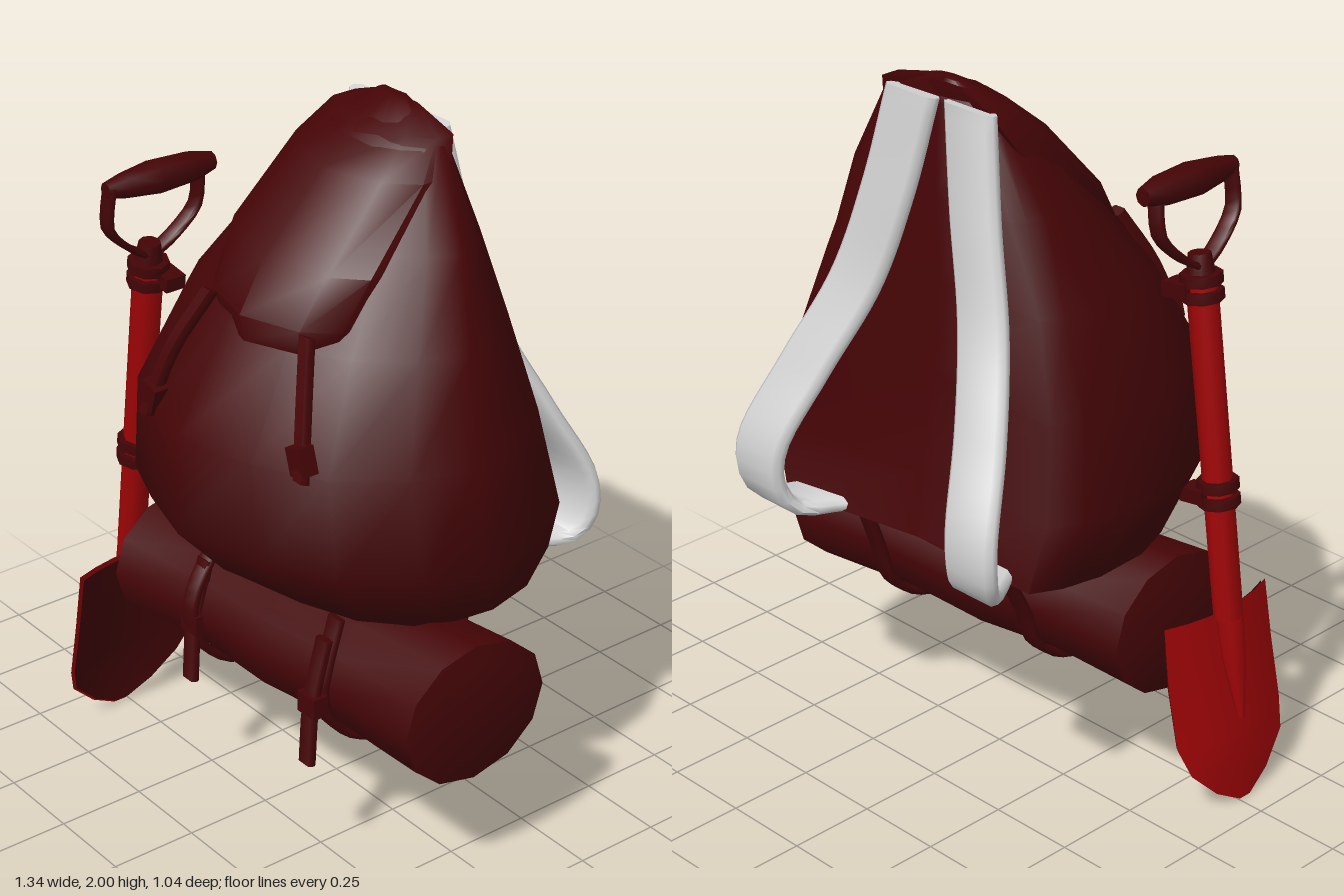
import * as THREE from 'three';
import { toCreasedNormals } from 'three/addons/utils/BufferGeometryUtils.js';

const V = (x, y, z) => new THREE.Vector3(x, y, z);
const mat = (name, color, side = THREE.FrontSide) =>
  Object.assign(new THREE.MeshStandardMaterial({ color, side }), { name });

// Skin a list of rings (equal point counts), capped at both ends, facing outwards.
function loft(rings, crease = 0.9) {
  const n = rings[0].length, pos = [], idx = [];
  rings.forEach(r => r.forEach(p => pos.push(p.x, p.y, p.z)));
  for (let i = 0; i < rings.length - 1; i++) {
    for (let j = 0; j < n; j++) {
      const k = (j + 1) % n, a = i * n + j, b = i * n + k;
      idx.push(a, b, b + n, a, b + n, a + n);
    }
  }
  [0, rings.length - 1].forEach(e => {
    const c = V(0, 0, 0);
    rings[e].forEach(p => c.addScaledVector(p, 1 / n));
    const ci = pos.length / 3;
    pos.push(c.x, c.y, c.z);
    for (let j = 0; j < n; j++) {
      const a = e * n + j, b = e * n + (j + 1) % n;
      if (e) idx.push(a, b, ci); else idx.push(b, a, ci);
    }
  });
  // Signed volume tells whether the winding must be flipped
  const at = i => V(pos[i * 3], pos[i * 3 + 1], pos[i * 3 + 2]);
  let vol = 0;
  for (let t = 0; t < idx.length; t += 3) vol += at(idx[t]).dot(at(idx[t + 1]).cross(at(idx[t + 2])));
  if (vol < 0) idx.reverse();
  const g = new THREE.BufferGeometry();
  g.setAttribute('position', new THREE.Float32BufferAttribute(pos, 3));
  g.setIndex(idx);
  return toCreasedNormals(g, crease);
}

// Flat strap with softened edges following a path; side is the direction of its width.
const strapSection = [[-1, -0.4], [-0.8, -1], [0.8, -1], [1, -0.4], [1, 0.4], [0.8, 1], [-0.8, 1], [-1, 0.4]];
function ribbon(points, side, width, thick, steps = 18) {
  const curve = new THREE.CatmullRomCurve3(points.map(p => V(...p)), false, 'centripetal');
  const rings = [];
  for (let i = 0; i <= steps; i++) {
    const p = curve.getPointAt(i / steps);
    const n = curve.getTangentAt(i / steps).cross(side).normalize();
    rings.push(strapSection.map(([a, b]) =>
      p.clone().addScaledVector(side, a * width / 2).addScaledVector(n, b * thick / 2)));
  }
  return loft(rings, 1);
}

export function createModel() {
  const model = new THREE.Group();
  model.name = 'backpack';
  const canvas = mat('maroon canvas', 0x450406);
  const red = mat('red metal', 0x9f0406);
  const white = mat('white webbing', 0xd4d4d4);
  const redSheet = mat('red blade', 0x9f0406, THREE.DoubleSide);
  const darkSheet = mat('maroon blade lining', 0x450406, THREE.DoubleSide);
  const X = V(1, 0, 0);
  const add = (name, geo, m, parent = model) => {
    const mesh = new THREE.Mesh(geo, m);
    mesh.name = name;
    parent.add(mesh);
    return mesh;
  };

  // Bag: one plan outline (u across, v from back to front) scaled level by level
  const outline = [[-0.46, -0.32], [-0.505, -0.22], [-0.53, -0.08], [-0.52, 0.12], [-0.47, 0.27], [-0.37, 0.39],
    [-0.2, 0.46], [0, 0.52], [0.25, 0.45], [0.45, 0.35], [0.59, 0.18], [0.65, 0], [0.61, -0.18], [0.48, -0.4], [0, -0.31]]
    .map(([x, z]) => [(x + 0.53) / 1.18, (z + 0.4) / 0.92]);
  // y, left x, right x, back z, front z, pointedness of the front
  const levels = [[0.73, -0.44, 0.5, -0.24, 0.3, 1], [0.775, -0.5, 0.57, -0.39, 0.36, 1],
    [0.95, -0.525, 0.655, -0.36, 0.52, 1], [1.22, -0.5, 0.597, -0.315, 0.51, 1.05], [1.48, -0.43, 0.495, -0.27, 0.35, 1.15],
    [1.7, -0.295, 0.39, -0.23, 0.18, 1.3], [1.93, -0.14, 0.255, -0.19, -0.01, 1.3], [2, -0.03, 0.07, -0.18, -0.14, 1]];
  add('bag', loft(levels.map(([y, l, r, b, f, p]) =>
    outline.map(([u, v]) => V(l + (r - l) * u, y, b + (f - b) * v ** p))), 1.2), canvas);

  // Lid flap over the upper front: y, left x, right x, front z
  const flap = [[1.475, -0.13, 0.27, 0.35], [1.54, -0.19, 0.3, 0.35], [1.66, -0.23, 0.3, 0.26],
    [1.86, -0.2, 0.28, 0.08], [1.95, -0.15, 0.24, -0.04], [1.99, -0.04, 0.1, -0.15]];
  add('lidFlap', loft(flap.map(([y, l, r, f]) => {
    const back = Math.max(-0.18, f - 0.22), d = f - back;
    return [[0, 1], [0, 0.48], [0.15, 0.2], [0.5, 0], [0.85, 0.26], [1, 0.6], [1, 1]]
      .map(([u, k]) => V(l + (r - l) * u, y, f - d * k));
  }), 0.9), canvas);

  // Lid straps with buckles
  [[[-0.11, 1.54, 0.32], [-0.16, 1.38, 0.41], [-0.195, 1.2, 0.47]],
    [[0.24, 1.53, 0.28], [0.31, 1.38, 0.345], [0.375, 1.22, 0.405]]].forEach(path => {
    const g = new THREE.Group();
    g.name = 'lidStrap';
    model.add(g);
    add('strap', ribbon(path, X, 0.04, 0.03, 8), canvas, g);
    const [a, b] = [V(...path[1]), V(...path[2])];
    const buckle = add('buckle', new THREE.BoxGeometry(0.06, 0.075, 0.045), canvas, g);
    buckle.position.copy(a.lerp(b, 0.7));
    buckle.rotation.z = Math.sign(path[0][0]) * 0.3;
  });

  // Bedroll under the bag, its axis slightly askew: x, radius, height of centre
  const rollZ = x => 0.105 - 0.08 * x;
  const roll = [[-0.54, 0.13, 0.53], [-0.515, 0.198, 0.537], [-0.2, 0.183, 0.54], [0.06, 0.195, 0.537],
    [0.32, 0.187, 0.545], [0.645, 0.2, 0.546], [0.666, 0.13, 0.55]];
  add('bedroll', loft(roll.map(([x, r, y]) => Array.from({ length: 12 }, (_, i) => {
    const a = i / 12 * Math.PI * 2;
    return V(x, y + r * Math.sin(a), rollZ(x) + 1.15 * r * Math.cos(a));
  }))), canvas);

  // Bedroll straps: down from the bag, round the roll and up again, with a hanging tail
  [-0.2, 0.32].forEach(x => {
    const g = new THREE.Group();
    g.name = 'bedrollStrap';
    model.add(g);
    const path = [[x, 0.77, -0.23]];
    for (let i = 0; i <= 8; i++) {
      const a = Math.PI * (1.02 + i / 8 * 1.1);
      path.push([x, 0.545 + 0.198 * Math.sin(a), rollZ(x) + 0.225 * Math.cos(a)]);
    }
    path.push([x, 0.75, 0.25]);
    add('band', ribbon(path, X, 0.055, 0.022, 28), canvas, g);
    add('tail', ribbon([[x, 0.7, 0.29], [x, 0.52, 0.335], [x + 0.015, 0.355, 0.36]], X, 0.05, 0.025, 6), canvas, g);
    add('buckle', new THREE.BoxGeometry(0.07, 0.06, 0.045), canvas, g).position.set(x, 0.52, 0.33);
  });

  // Shoulder straps
  const shoulder = [[0.105, 1.95, -0.2], [0.16, 1.68, -0.24], [0.235, 1.42, -0.29], [0.325, 1.18, -0.395],
    [0.39, 0.96, -0.497], [0.39, 0.85, -0.493], [0.365, 0.795, -0.455], [0.3, 0.79, -0.34]];
  add('leftShoulderStrap', ribbon(shoulder, X, 0.178, 0.042, 32), white);
  add('rightShoulderStrap', ribbon(shoulder.map(([x, y, z]) => [0.015 - x, y, z * 0.94]), X, 0.172, 0.042, 32), white);

  // Shovel strapped to the side, leaning inwards towards the top
  const shovel = new THREE.Group();
  shovel.name = 'shovel';
  model.add(shovel);
  const ax = y => -0.625 + 0.143 * (y - 0.3), lean = -Math.atan(0.143), sz = 0.27;
  const rod = (name, y0, y1, r0, r1, m) => {
    const c = add(name, toCreasedNormals(new THREE.CylinderGeometry(r1, r0, y1 - y0, 8), 0.9), m, shovel);
    c.position.set(ax((y0 + y1) / 2), (y0 + y1) / 2, sz);
    c.rotation.z = lean;
  };
  rod('shaft', 0.53, 1.48, 0.04, 0.042, red);
  rod('neck', 1.46, 1.54, 0.042, 0.03, canvas);
  // Socket runs out along the outer face of the blade
  const socket = [[0.54, -0.592, 0.04], [0.42, -0.614, 0.034], [0.25, -0.65, 0.01]];
  add('socket', loft(socket.map(([y, x, r]) => Array.from({ length: 8 }, (_, i) => {
    const a = i / 8 * Math.PI * 2;
    return V(x + r * Math.cos(a), y, sz + r * Math.sin(a));
  }))), red, shovel);

  // Blade: curved sheet, red outside and lined inside; y, half width, spine x, depth of curve
  const rows = [[0.55, 0.2, -0.577, 0.037], [0.38, 0.205, -0.606, 0.04], [0.21, 0.205, -0.648, 0.045],
    [0.13, 0.18, -0.66, 0.025], [0.05, 0.1, -0.667, 0.01], [0.005, 0.02, -0.67, 0]];
  const blade = (name, m, flip, inset, gap) => {
    const g = new THREE.PlaneGeometry(1, 1, 6, 5), p = g.attributes.position;
    for (let i = 0; i < p.count; i++) {
      const [y, w, x, d] = rows[Math.floor(i / 7)], u = p.getX(i) * 2;
      p.setXYZ(i, x + d * u * u + gap, 0.27 + (y - 0.27) * inset, sz + 0.005 + flip * u * w * inset);
    }
    g.computeVertexNormals();
    add(name, g, m, shovel);
  };
  blade('bladeOuter', redSheet, 1, 1, 0);
  blade('bladeInner', darkSheet, -1, 0.97, 0.009);

  // D-shaped handle
  [1, -1].forEach(s => add('handleFork', ribbon([[ax(1.5), 1.5, sz], [ax(1.54), 1.535, sz + s * 0.06],
    [ax(1.62), 1.61, sz + s * 0.135], [ax(1.66), 1.65, sz + s * 0.143], [ax(1.74), 1.74, sz + s * 0.138]],
  X, 0.05, 0.018, 10), canvas, shovel));
  const grip = [[0.085, 0.025], [0.15, 0.042], [0.27, 0.048], [0.36, 0.036], [0.42, 0.022]];
  add('handleGrip', loft(grip.map(([z, r]) => Array.from({ length: 8 }, (_, i) => {
    const a = i / 8 * Math.PI * 2;
    return V(ax(1.73) + r * Math.cos(a), 1.732 + r * Math.sin(a), z);
  }))), canvas, shovel);

  // Loops holding the shaft to the bag
  [0.89, 1.45].forEach(y => {
    [-0.022, 0.022].forEach(d => rod('shaftLoop', y + d - 0.015, y + d + 0.015, 0.057, 0.057, canvas));
    const tab = add('loopTab', new THREE.BoxGeometry(0.08, 0.04, 0.06), canvas, shovel);
    tab.position.set(ax(y) + 0.045, y - 0.01, sz - 0.03);
    tab.rotation.z = lean;
  });
  return model;
}
